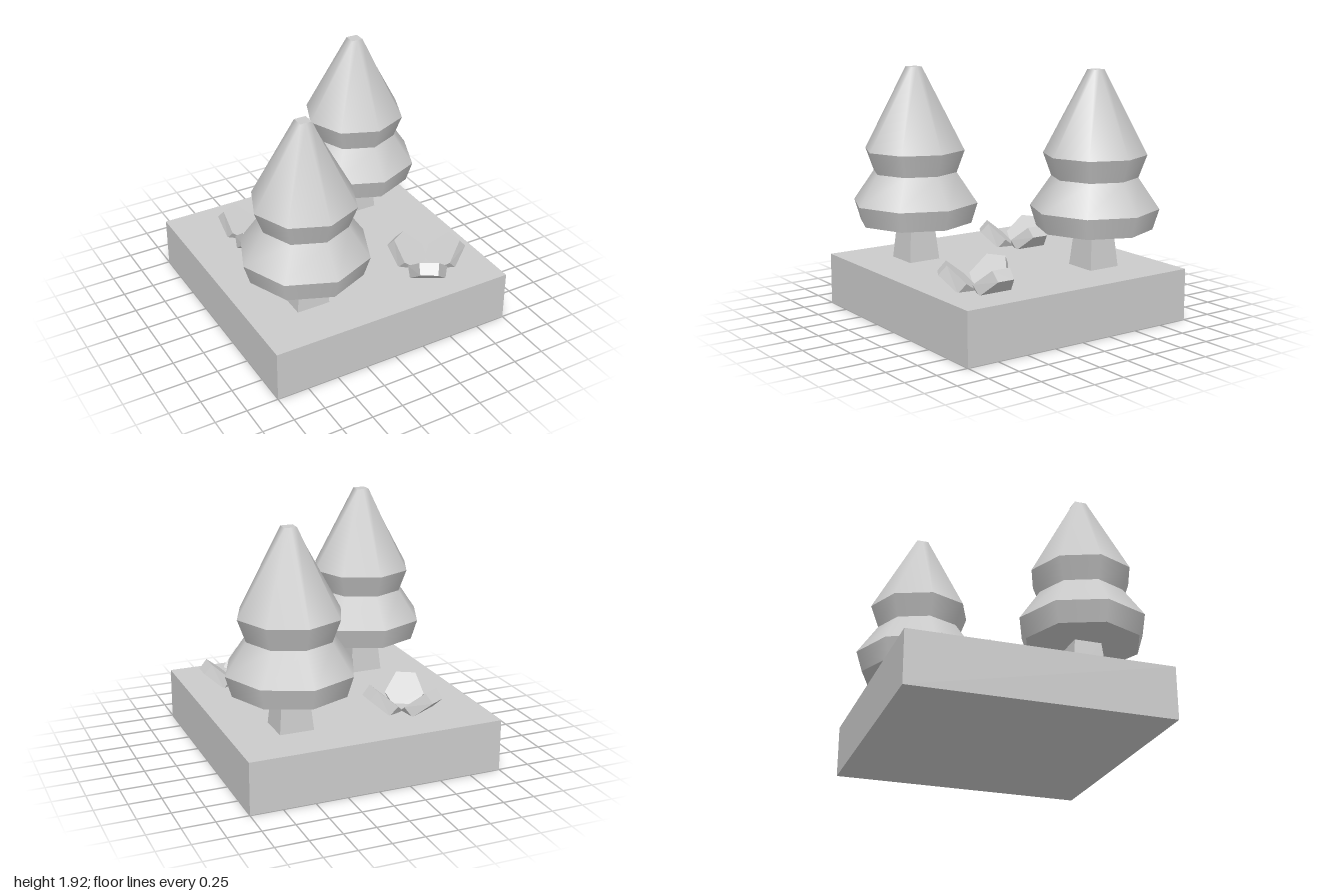
import * as THREE from 'three';

const material = new THREE.MeshStandardMaterial({ color: 0xcccccc });

function addMesh(parent, geometry, name) {
  const mesh = new THREE.Mesh(geometry, material);
  mesh.name = name;
  parent.add(mesh);
  return mesh;
}

// Eight-sided tapered band between two heights
function band(rTop, rBottom, y0, y1, open = true) {
  const g = new THREE.CylinderGeometry(rTop, rBottom, y1 - y0, 8, 1, open);
  return g.translate(0, (y0 + y1) / 2, 0);
}

// Crown tip: the upper octagon is pushed out to a small square
function crownTip(half, rBottom, y0, y1) {
  const g = new THREE.CylinderGeometry(half, rBottom, y1 - y0, 8, 1, false);
  const p = g.attributes.position;
  for (let i = 0; i < p.count; i++) {
    const m = Math.max(Math.abs(p.getX(i)), Math.abs(p.getZ(i)));
    if (p.getY(i) > 0 && m > 0.001) {
      p.setX(i, p.getX(i) * half / m);
      p.setZ(i, p.getZ(i) * half / m);
    }
  }
  return g.translate(0, (y0 + y1) / 2, 0);
}

function createTree(x, z) {
  const tree = new THREE.Group();
  tree.name = 'tree';
  // Square tapered trunk
  const trunk = new THREE.CylinderGeometry(0.106 * Math.SQRT2, 0.134 * Math.SQRT2, 0.3, 4)
    .rotateY(Math.PI / 4).toNonIndexed();
  trunk.computeVertexNormals();
  addMesh(tree, trunk.translate(0, 0.55, 0), 'trunk');
  // Two tiers of foliage
  addMesh(tree, band(0.5, 0.45, 0.705, 0.865, false), 'lowerTierSkirt');
  addMesh(tree, band(0.335, 0.5, 0.865, 1.105), 'lowerTierSlope');
  addMesh(tree, band(0.4, 0.335, 1.105, 1.28), 'upperTierSkirt');
  addMesh(tree, crownTip(0.046, 0.4, 1.28, 1.925), 'upperTierSlope');
  tree.position.set(x, 0, z);
  return tree;
}

// Thick six-cornered leaf leaning outward, narrower on its outer face
function leafGeometry() {
  const outline = [[0, -0.075], [0.117, -0.152], [0.299, -0.076],
    [0.299, 0.076], [0.117, 0.152], [0, 0.075]];
  const shape = new THREE.Shape(outline.map(([u, v]) => new THREE.Vector2(u, v)));
  const g = new THREE.ExtrudeGeometry(shape, { depth: 0.096, bevelEnabled: false });
  const p = g.attributes.position;
  for (let i = 0; i < p.count; i++) if (p.getZ(i) > 0.05) p.setY(i, p.getY(i) * 0.9);
  const lean = new THREE.Matrix4().makeBasis(
    new THREE.Vector3(0.749, 0.663, 0),
    new THREE.Vector3(0, 0, 1),
    new THREE.Vector3(0.663, -0.749, 0));
  g.applyMatrix4(lean).translate(0.027, 0.392, 0);
  g.computeVertexNormals();
  return g;
}

function createPlant(x, z) {
  const plant = new THREE.Group();
  plant.name = 'plant';
  const leaf = leafGeometry();
  for (let i = 0; i < 3; i++) addMesh(plant, leaf, 'leaf').rotation.y = i * Math.PI * 2 / 3;
  plant.position.set(x, 0, z);
  return plant;
}

export function createModel() {
  const model = new THREE.Group();
  model.name = 'forestTile';
  addMesh(model, new THREE.BoxGeometry(2, 0.405, 2).translate(0, 0.2025, 0), 'groundBlock');
  model.add(createTree(-0.5, 0.5), createTree(0.5, -0.5));
  model.add(createPlant(0.54, 0.577), createPlant(-0.445, -0.456));
  return model;
}
